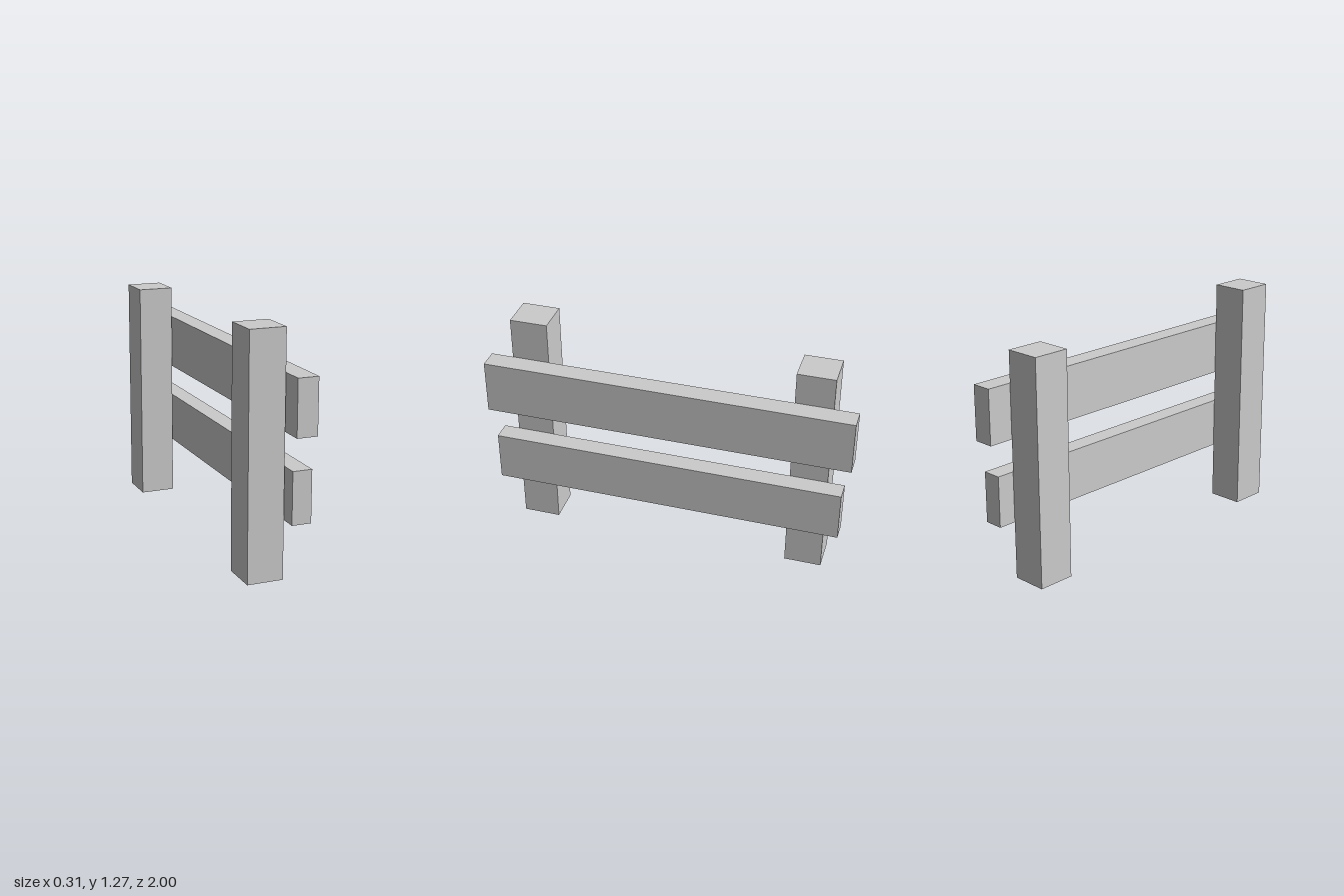
import * as THREE from 'three';

export function createModel() {
  const group = new THREE.Group();
  const material = new THREE.MeshStandardMaterial({ color: 0xcccccc, flatShading: true });

  // Box given by its extents along each axis
  function beam(name, [x0, x1], [y0, y1], [z0, z1]) {
    const mesh = new THREE.Mesh(new THREE.BoxGeometry(x1 - x0, y1 - y0, z1 - z0), material);
    mesh.position.set((x0 + x1) / 2, (y0 + y1) / 2, (z0 + z1) / 2);
    mesh.name = name;
    group.add(mesh);
  }

  // Upright posts, the front one slightly taller
  beam('frontPost', [-0.154, 0.038], [0, 1.275], [0.675, 0.88]);
  beam('backPost', [-0.154, 0.038], [0, 1.222], [-0.868, -0.664]);

  // Horizontal rails, a hair clear of the posts
  beam('upperRail', [0.043, 0.153], [0.757, 1.051], [-1, 1]);
  beam('lowerRail', [0.043, 0.146], [0.309, 0.584], [-0.96, 0.962]);

  return group;
}
